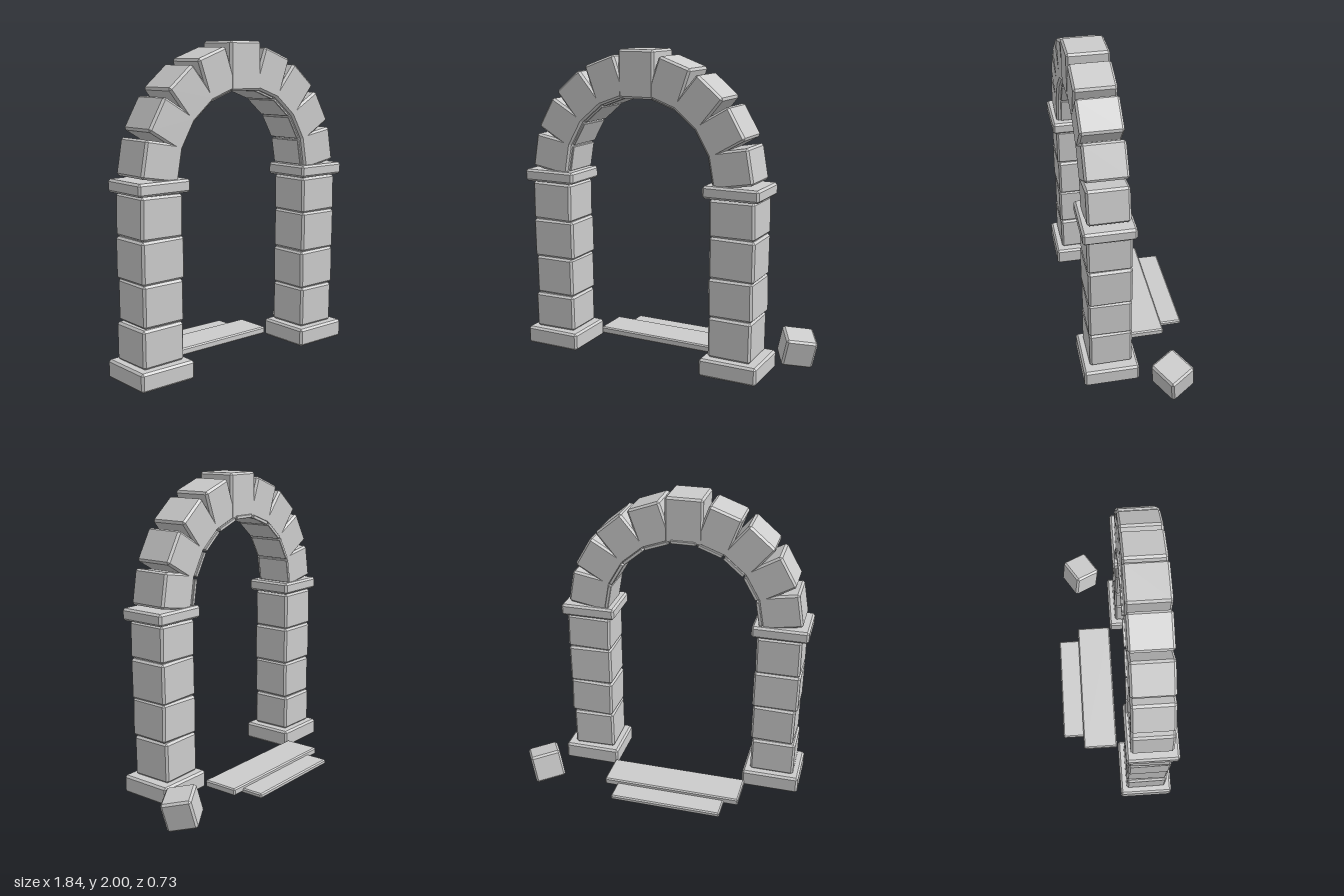
import * as THREE from 'three';
import { ConvexGeometry } from 'three/addons/geometries/ConvexGeometry.js';

const stone = new THREE.MeshStandardMaterial({ color: 0xcccccc });
stone.name = 'light grey stone';

// Box with a flat chamfer along every edge
function chamferBox(w, h, d, c) {
  const points = [];
  for (const x of [-1, 1]) for (const y of [-1, 1]) for (const z of [-1, 1]) {
    const [a, b, e] = [w / 2, h / 2, d / 2];
    points.push(
      new THREE.Vector3(x * a, y * (b - c), z * (e - c)),
      new THREE.Vector3(x * (a - c), y * b, z * (e - c)),
      new THREE.Vector3(x * (a - c), y * (b - c), z * e));
  }
  return new ConvexGeometry(points);
}

function block(parent, name, size, position, chamfer = 0.013) {
  const mesh = new THREE.Mesh(chamferBox(...size, chamfer), stone);
  mesh.name = name;
  mesh.position.set(...position);
  parent.add(mesh);
  return mesh;
}

const CENTRE_X = -0.109, CENTRE_Z = 0.19, SPRING_Y = 1.222;

// Base, four uneven blocks and a cap; courses hold [x, bottom, top, width, tilt, turn]
function pillar(name, x, courses) {
  const group = new THREE.Group();
  group.name = name;
  block(group, 'pillarBase', [0.375, 0.114, 0.35], [x, 0.101, 0.192]);
  courses.forEach(([cx, y0, y1, w, tilt, turn]) => {
    const b = block(group, 'pillarBlock', [w, y1 - y0, 0.268], [cx, (y0 + y1) / 2, CENTRE_Z]);
    b.rotation.set(0, turn, tilt);
  });
  block(group, 'pillarCap', [0.358, 0.076, 0.316], [x, 1.188, 0.194]);
  return group;
}

export function createModel() {
  const model = new THREE.Group();
  model.name = 'stoneArch';

  model.add(pillar('rightPillar', -0.733, [
    [-0.735, 0.16, 0.39, 0.288, 0.01, 0.01],
    [-0.727, 0.395, 0.645, 0.278, 0.01, -0.02],
    [-0.729, 0.645, 0.895, 0.296, 0.008, 0.01],
    [-0.732, 0.895, 1.143, 0.284, -0.01, -0.015],
  ]));
  model.add(pillar('leftPillar', 0.521, [
    [0.513, 0.16, 0.416, 0.278, -0.012, 0.015],
    [0.519, 0.418, 0.66, 0.288, 0.015, -0.015],
    [0.522, 0.66, 0.915, 0.29, -0.012, 0.01],
    [0.522, 0.915, 1.144, 0.29, 0.012, -0.01],
  ]));

  // Ring of square stones with a taller keystone, lined by thin slabs
  const arch = new THREE.Group();
  arch.name = 'arch';
  for (let i = 0; i < 9; i++) {
    const angle = THREE.MathUtils.degToRad(10 + 20 * i);
    const at = (r, z) => [CENTRE_X + r * Math.cos(angle), SPRING_Y + r * Math.sin(angle), z];
    const key = i === 4;
    const s = key
      ? block(arch, 'keystone', [0.24, 0.292, 0.26], at(0.632, CENTRE_Z))
      : block(arch, 'archStone', [0.218, 0.258, 0.256], at(0.625, CENTRE_Z));
    s.rotation.z = angle - Math.PI / 2;
    const lining = block(arch, 'archLining', [0.16, 0.022, 0.24], at(key ? 0.5 : 0.495, 0.17), 0.003);
    lining.rotation.z = angle - Math.PI / 2;
  }
  model.add(arch);

  // Two low steps behind the opening
  block(model, 'upperStep', [0.91, 0.046, 0.236], [-0.111, 0.072, -0.106], 0.008);
  block(model, 'lowerStep', [0.73, 0.032, 0.165], [-0.107, 0.056, -0.284], 0.008);

  // Fallen block
  const fallen = block(model, 'fallenBlock', [0.202, 0.188, 0.188], [0.78, 0.119, -0.181]);
  fallen.rotation.set(0.215, 0.51, -0.15, 'YXZ');

  return model;
}
